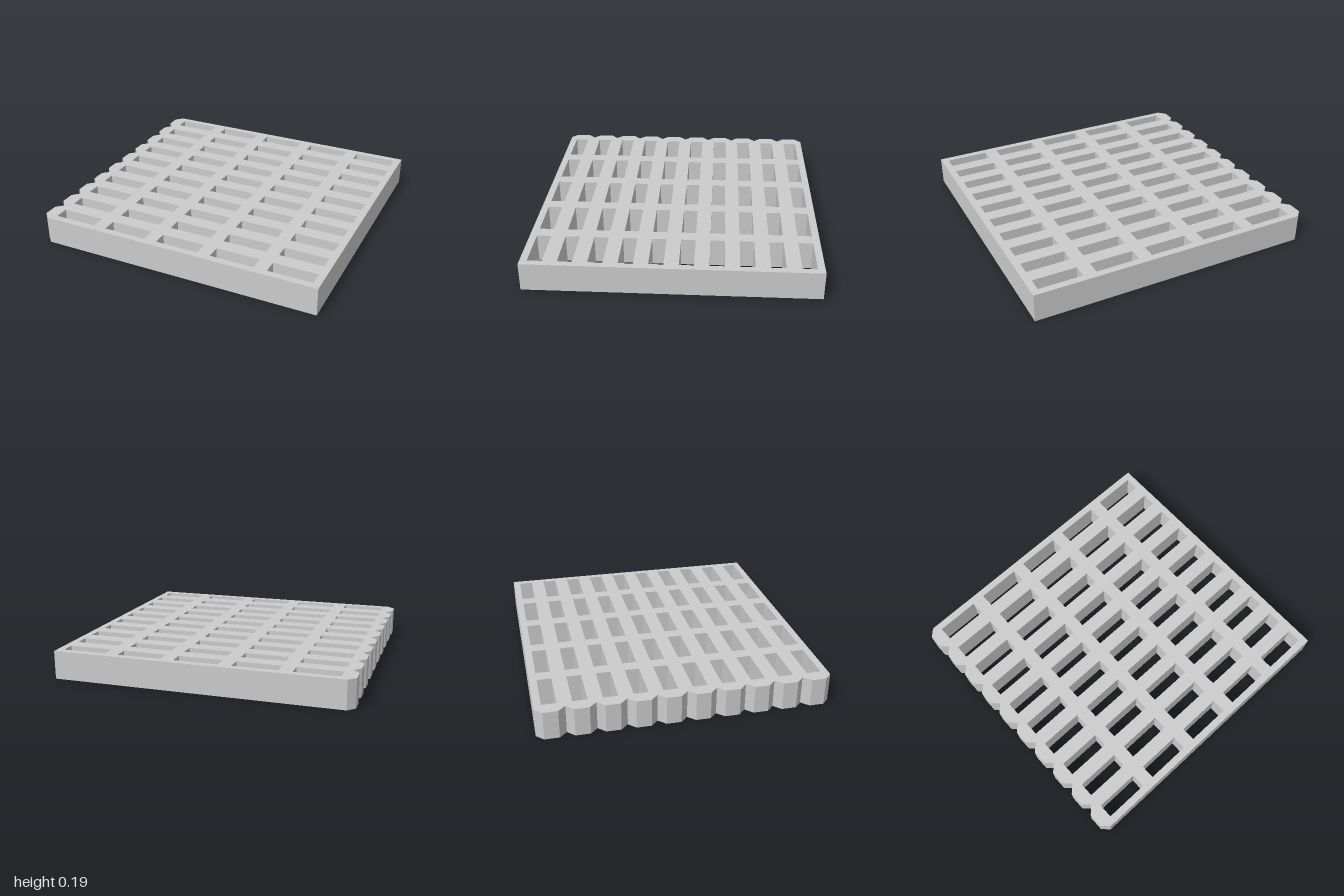
import * as THREE from 'three';

const ROWS = 10, COLS = 5;
const PITCH_Z = 0.1926, PITCH_X = 0.39;
const SLOT_W = 0.3, SLOT_D = 0.096;
const HEIGHT = 0.193, NOTCH = 0.048;
const HALF_Z = ROWS * PITCH_Z / 2;

// Plate outline: straight on three sides, chamfered teeth along -x
function plateShape() {
  const shape = new THREE.Shape();
  shape.moveTo(1, -HALF_Z);
  shape.lineTo(1, HALF_Z);
  for (let r = 0; r < ROWS; r++) {
    const top = HALF_Z - r * PITCH_Z, bottom = top - PITCH_Z;
    shape.lineTo(-1 + NOTCH, top);
    shape.lineTo(-1, top - NOTCH);
    shape.lineTo(-1, bottom + NOTCH);
  }
  shape.lineTo(-1 + NOTCH, -HALF_Z);
  shape.closePath();
  return shape;
}

// Rectangular through slot centred on (x, y)
function slot(x, y) {
  const w = SLOT_W / 2, d = SLOT_D / 2;
  return new THREE.Path([
    new THREE.Vector2(x - w, y - d),
    new THREE.Vector2(x - w, y + d),
    new THREE.Vector2(x + w, y + d),
    new THREE.Vector2(x + w, y - d),
  ]);
}

export function createModel() {
  const group = new THREE.Group();
  group.name = 'slottedGrate';

  const shape = plateShape();
  for (let r = 0; r < ROWS; r++) {
    for (let c = 0; c < COLS; c++) {
      shape.holes.push(slot(-0.758 + c * PITCH_X, -HALF_Z + (r + 0.5) * PITCH_Z));
    }
  }

  // Lay the extruded plate flat on the floor
  const geometry = new THREE.ExtrudeGeometry(shape, { depth: HEIGHT, bevelEnabled: false });
  geometry.rotateX(-Math.PI / 2);

  const plate = new THREE.Mesh(geometry, new THREE.MeshStandardMaterial({ color: 0xcccccc, flatShading: true }));
  plate.name = 'gratePlate';
  group.add(plate);
  return group;
}
